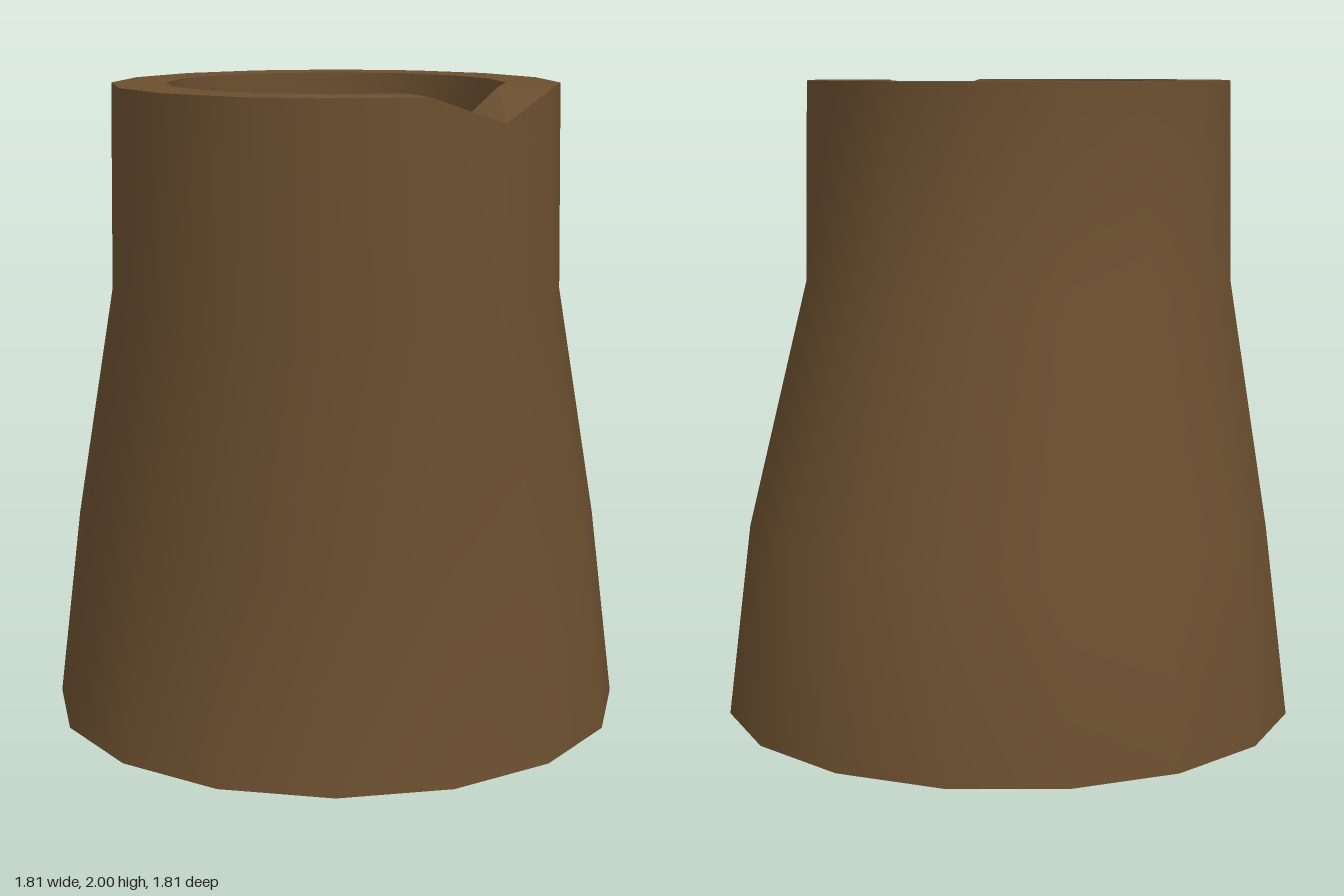
import * as THREE from 'three';

const SIDES = 16;
const NOTCH = 2; // corner at 45 degrees between front and left
const TOP = 2, DIP = 1.915, FLOOR = 1.89, LEAN = 0.17;

// Ring of corners; dip lowers the notch corner
function ring(radius, y, z, dip = y) {
  return Array.from({ length: SIDES }, (_, i) => {
    const a = (i / SIDES) * Math.PI * 2;
    return [radius * Math.sin(a), i === NOTCH ? dip : y, z + radius * Math.cos(a)];
  });
}

// Skin joining successive rings
function loft(rings, flat = false) {
  const index = [];
  for (let r = 0; r < rings.length - 1; r++) {
    for (let i = 0; i < SIDES; i++) {
      const a = r * SIDES + i, b = r * SIDES + (i + 1) % SIDES;
      index.push(a, b, b + SIDES, a, b + SIDES, a + SIDES);
    }
  }
  let geometry = new THREE.BufferGeometry();
  geometry.setAttribute('position', new THREE.Float32BufferAttribute(rings.flat(2), 3));
  geometry.setIndex(index);
  if (flat) geometry = geometry.toNonIndexed();
  geometry.computeVertexNormals();
  return geometry;
}

export function createModel() {
  const group = new THREE.Group();
  const brown = new THREE.MeshStandardMaterial({ color: 0x6b4f2f });
  brown.name = 'brown';

  const add = (name, geometry) => {
    const mesh = new THREE.Mesh(geometry, brown);
    mesh.name = name;
    group.add(mesh);
    return mesh;
  };

  const outerTop = ring(0.68, TOP, LEAN, DIP);
  const innerTop = ring(0.515, TOP, LEAN, DIP);

  // Leaning outer wall
  add('outerWall', loft([
    ring(0.905, 0, 0),
    ring(0.83, 0.61, 0),
    ring(0.69, 1.37, LEAN),
    outerTop,
  ]));

  // Rim with its notch, and the shallow recess inside it
  add('rim', loft([outerTop, innerTop], true));
  add('recessWall', loft([innerTop, ring(0.515, FLOOR, LEAN)]));

  const floor = add('recessFloor', new THREE.CircleGeometry(0.515, SIDES));
  floor.rotation.x = -Math.PI / 2;
  floor.position.set(0, FLOOR, LEAN);

  // Underside
  const base = add('base', new THREE.CircleGeometry(0.905, SIDES));
  base.rotation.x = Math.PI / 2;

  return group;
}
